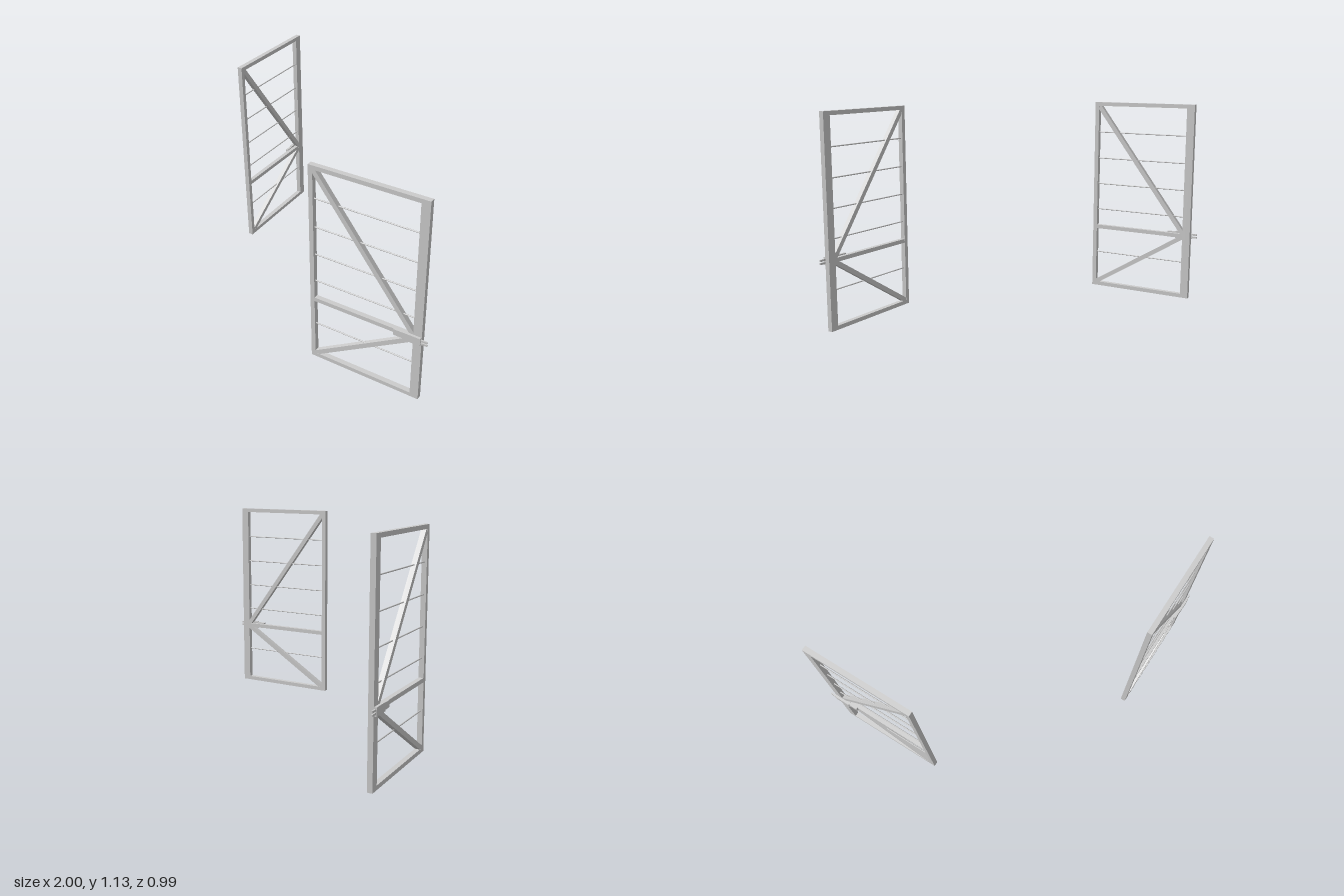
import * as THREE from 'three';

const L = 0.617, H = 1.135, T = 0.027;       // leaf length, height, thickness
const HINGE = 0.024, LOCK = 0.045, RAIL = 0.022; // member widths
const MID = 0.372;                            // height of middle rail and latch

const material = new THREE.MeshStandardMaterial({ color: 0xcccccc });

// Box given by its x, y and z ranges
function bar(parent, name, x0, x1, y0, y1, z0, z1) {
  const mesh = new THREE.Mesh(new THREE.BoxGeometry(x1 - x0, y1 - y0, z1 - z0), material);
  mesh.position.set((x0 + x1) / 2, (y0 + y1) / 2, (z0 + z1) / 2);
  mesh.name = name;
  parent.add(mesh);
  return mesh;
}

// Slanted bar between two points of the leaf plane
function brace(parent, name, xa, ya, xb, yb) {
  const len = Math.hypot(xb - xa, yb - ya);
  const mesh = bar(parent, name, -len / 2, len / 2, -0.0125, 0.0125, -T / 2 + 0.0005, T / 2 - 0.0005);
  mesh.position.set((xa + xb) / 2, (ya + yb) / 2, 0);
  mesh.rotation.z = Math.atan2(yb - ya, xb - xa);
}

// One leaf: hinge side at -x, lock side at +x; side (+1 or -1) is the latch face
function makeLeaf(name, side) {
  const leaf = new THREE.Group();
  leaf.name = name;
  const a = -L / 2, b = L / 2, h = T / 2;
  const inA = a + HINGE, inB = b - LOCK;

  // Frame
  bar(leaf, 'hingeStile', a, inA, 0, H, -h, h);
  bar(leaf, 'lockStile', inB, b, 0, H, -h, h);
  bar(leaf, 'bottomRail', inA, inB, 0, RAIL, -h, h);
  bar(leaf, 'topRail', inA, inB, H - RAIL, H, -h, h);
  bar(leaf, 'middleRail', inA, inB, MID - 0.011, MID + 0.011, -h + 0.001, h - 0.001);

  // Diagonal braces meeting at the latch
  brace(leaf, 'upperBrace', inA, H - RAIL, inB + 0.006, MID + 0.004);
  brace(leaf, 'lowerBrace', inA, RAIL, inB + 0.006, MID - 0.004);

  // Thin horizontal rods
  for (const y of [0.213, 0.483, 0.64, 0.797, 0.955]) {
    const rod = new THREE.Mesh(new THREE.CylinderGeometry(0.0035, 0.0035, inB - inA, 8), material);
    rod.rotation.z = Math.PI / 2;
    rod.position.set((inA + inB) / 2, y, 0);
    rod.name = 'rod';
    leaf.add(rod);
  }

  // Latch on one face, with two prongs past the lock stile
  const latch = new THREE.Group();
  latch.name = 'latch';
  const onFace = (part, x0, x1, y0, y1, d0, d1) => {
    const z = [side * (h + d0), side * (h + d1)];
    bar(latch, part, x0, x1, y0, y1, Math.min(...z), Math.max(...z));
  };
  onFace('latchTail', b - 0.145, b - 0.095, MID - 0.017, MID + 0.017, -0.004, 0.01);
  onFace('latchCase', b - 0.095, b - 0.002, MID - 0.021, MID + 0.021, -0.004, 0.013);
  for (const dy of [-0.008, 0.008]) {
    onFace('latchProng', b - 0.01, b + 0.032, MID + dy - 0.005, MID + dy + 0.005, 0.002, 0.009);
  }
  leaf.add(latch);
  return leaf;
}

export function createModel() {
  const model = new THREE.Group();
  model.name = 'doubleGate';

  const left = makeLeaf('leftLeaf', 1);
  left.position.set(0.672, 0, 0.38);
  left.rotation.y = THREE.MathUtils.degToRad(19);

  const right = makeLeaf('rightLeaf', -1);
  right.position.set(-0.86, 0, -0.183);
  right.rotation.y = THREE.MathUtils.degToRad(110.5);

  model.add(left, right);
  return model;
}
